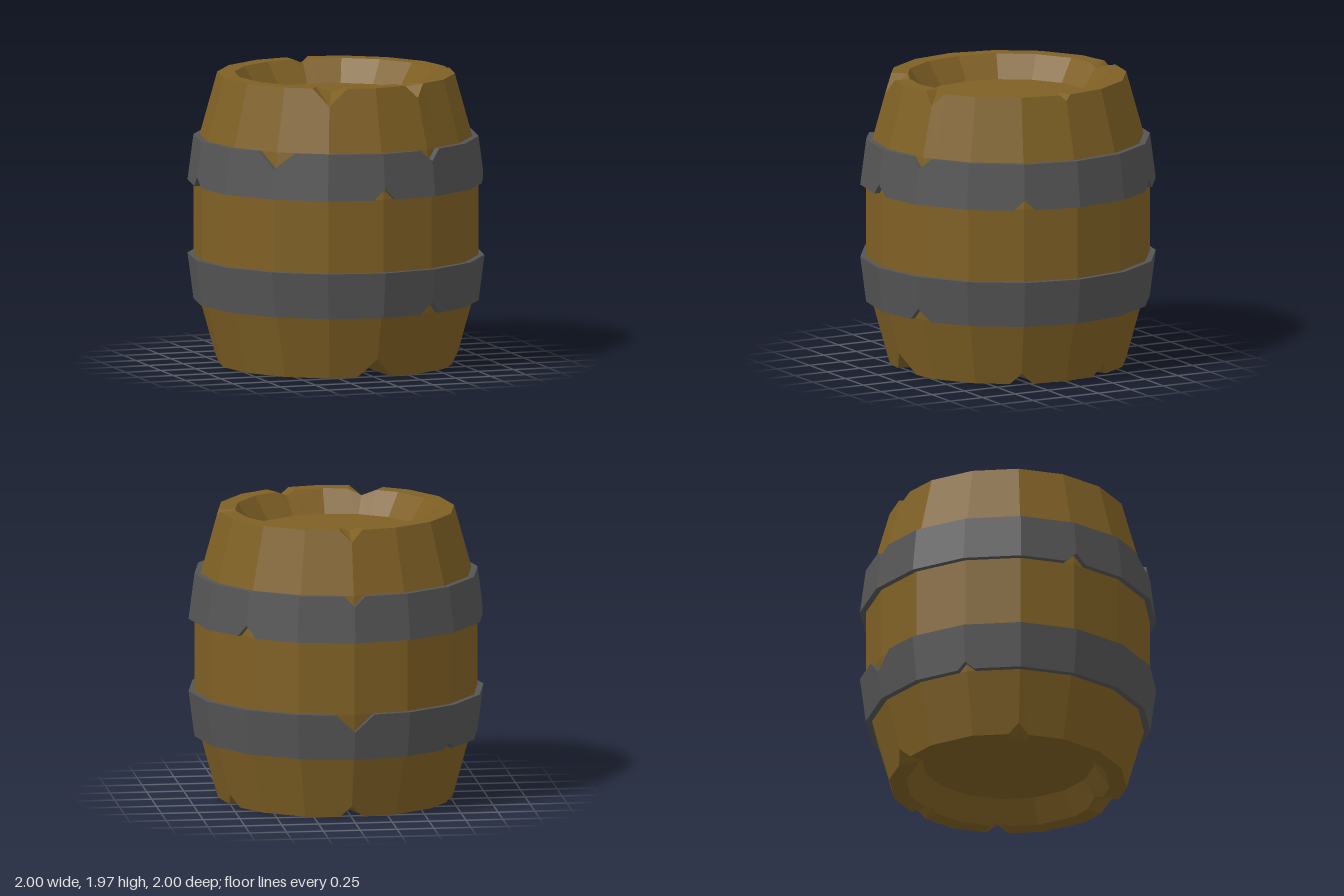
import * as THREE from 'three';

const SIDES = 16, HEIGHT = 1.965;
const wood = new THREE.MeshStandardMaterial({ color: 0x7f6024, flatShading: true });
const iron = new THREE.MeshStandardMaterial({ color: 0x555555, flatShading: true });
wood.name = 'wood';
iron.name = 'iron';

// Sweeps a profile round the axis as a 16-sided ring, with V-shaped chips at its corners.
// profile point: [radius, y, chipped edge, radius shift, y shift] (shift per unit of chip depth)
// chip: [corner, half width as a fraction of one side, depth]
function chippedRing(name, material, profile, chips) {
  const stations = new Set(Array.from({ length: SIDES }, (_, i) => i));
  for (const list of Object.values(chips)) {
    for (const [corner, width] of list) {
      stations.add((corner - width + SIDES) % SIDES);
      stations.add((corner + width) % SIDES);
    }
  }
  const us = [...stations].sort((a, b) => a - b);

  const depthAt = (u, edge) => {
    let depth = 0;
    for (const [corner, width, d] of chips[edge]) {
      const gap = Math.abs(u - corner);
      depth = Math.max(depth, d * (1 - Math.min(gap, SIDES - gap) / width));
    }
    return depth < 1e-6 ? 0 : depth;
  };
  const corner = (k) => {
    const a = (k * 2 * Math.PI) / SIDES;
    return new THREE.Vector3(Math.sin(a), 0, Math.cos(a));
  };
  const sections = us.map((u) => {
    const k = Math.floor(u);
    const dir = corner(k).lerp(corner(k + 1), u - k);
    return profile.map(([r, y, edge, dr, dy]) => {
      const d = edge ? depthAt(u, edge) : 0;
      const p = dir.clone().multiplyScalar(d ? r + d * dr : r);
      p.y = d ? y + d * dy : y;
      return p;
    });
  });

  const positions = [];
  const tri = (...pts) => pts.forEach((p) => positions.push(p.x, p.y, p.z));
  sections.forEach((s, i) => {
    const n = sections[(i + 1) % sections.length];
    for (let j = 0; j < profile.length - 1; j++) {
      if (profile[j + 1][0] > 0) tri(s[j], s[j + 1], n[j + 1]);
      if (profile[j][0] > 0) tri(s[j], n[j + 1], n[j]);
    }
  });
  const geometry = new THREE.BufferGeometry();
  geometry.setAttribute('position', new THREE.Float32BufferAttribute(positions, 3));
  geometry.computeVertexNormals();
  const mesh = new THREE.Mesh(geometry, material);
  mesh.name = name;
  return mesh;
}

// Turns a top half profile upside down for the lower half
const mirror = (half) => half.map(([r, y, edge, dr = 0, dy = 0]) =>
  [r, HEIGHT - y, edge && (edge === 'top' ? 'bottom' : 'top'), dr, -dy]).reverse();

export function createModel() {
  const barrel = new THREE.Group();
  barrel.name = 'barrel';

  // Bulging body with a recessed lid at each end
  const upperBody = [
    [0, 1.81],
    [0.58, 1.81],
    [0.685, HEIGHT, 'top', -0.22, -0.35],
    [0.8, HEIGHT, 'top', 0.28, -1],
    [0.918, 1.54],
    [0.96, 1.23],
  ];
  barrel.add(chippedRing('body', wood, [...upperBody, ...mirror(upperBody)], {
    top: [[15, 0.38, 0.115], [1, 0.27, 0.085], [4, 0.13, 0.04], [8, 0.25, 0.08]],
    bottom: [[0, 0.42, 0.13], [3, 0.25, 0.08], [5, 0.24, 0.08], [8, 0.26, 0.08], [11, 0.23, 0.07]],
  }));

  // Iron hoops, sloping with the body
  const hoop = [
    [0.918, 1.54, 'top', 0.13, -1],
    [0.96, 1.54, 'top', 0.13, -1],
    [1.0, 1.23, 'bottom', -0.13, 1],
    [0.958, 1.23, 'bottom', -0.13, 1],
  ];
  barrel.add(chippedRing('upperHoop', iron, hoop, {
    top: [[14, 0.37, 0.11], [1, 0.23, 0.075], [8, 0.2, 0.07]],
    bottom: [[0, 0.2, 0.075], [3, 0.19, 0.07], [6, 0.2, 0.08], [12, 0.2, 0.07]],
  }));
  barrel.add(chippedRing('lowerHoop', iron, mirror(hoop), {
    top: [[8, 0.35, 0.12]],
    bottom: [[1, 0.23, 0.085], [10, 0.16, 0.05]],
  }));
  return barrel;
}
